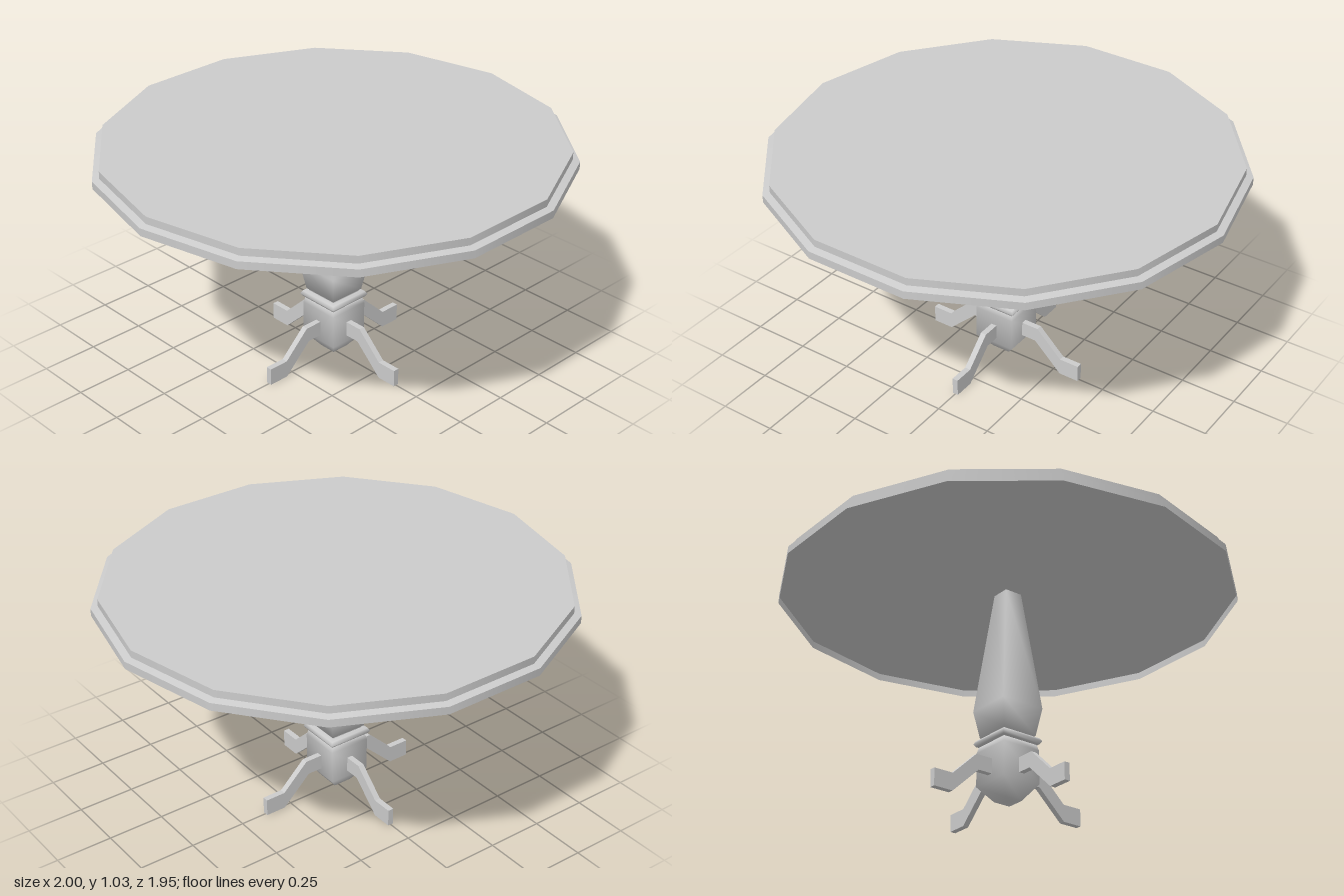
import * as THREE from 'three';

const material = new THREE.MeshStandardMaterial({ color: 0xcccccc, side: THREE.DoubleSide });

function part(name, geometry) {
  const mesh = new THREE.Mesh(geometry, material);
  mesh.name = name;
  return mesh;
}

// Four-sided turning with its flats facing the axes; profile is [halfWidth, y] from bottom to top
function squareTurning(name, profile) {
  const points = profile.map(([w, y]) => new THREE.Vector2(w * Math.SQRT2, y));
  return part(name, new THREE.LatheGeometry(points, 4, Math.PI / 4));
}

// Fourteen-sided slab with corners on the x axis
function slab(name, rTop, rBottom, y0, y1, open = false) {
  const geometry = new THREE.CylinderGeometry(rTop, rBottom, y1 - y0, 14, 1, open);
  geometry.rotateY(Math.PI / 2);
  geometry.translate(0, (y0 + y1) / 2, 0);
  return part(name, geometry);
}

export function createModel() {
  const table = new THREE.Group();
  table.name = 'pedestalTable';

  // Stepped table top: a thin hanging rim leaves the underside recessed
  table.add(
    slab('topRim', 1, 1, 0.955, 0.988, true),
    slab('topBevel', 0.97, 1, 0.988, 0.995),
    slab('topPanel', 0.97, 0.97, 0.995, 1.027)
  );

  // Pedestal
  const pedestal = new THREE.Group();
  pedestal.name = 'pedestal';
  pedestal.add(
    squareTurning('shaft', [[0, 0.312], [0.083, 0.314], [0.104, 0.437], [0.041, 0.988]]),
    squareTurning('neck', [[0.075, 0.26], [0.075, 0.32]]),
    squareTurning('collar', [[0.075, 0.274], [0.095, 0.276], [0.103, 0.289], [0.095, 0.302], [0.075, 0.304]]),
    squareTurning('base', [[0, 0.024], [0.04, 0.025], [0.093, 0.095], [0.093, 0.245], [0.086, 0.272], [0, 0.275]])
  );

  // Four bent legs
  const outline = [[0.05, 0.123], [0.16, 0.123], [0.29, 0], [0.381, 0],
    [0.381, 0.077], [0.29, 0.077], [0.172, 0.19], [0.05, 0.19]];
  const shape = new THREE.Shape(outline.map(([x, y]) => new THREE.Vector2(x, y)));
  const legGeometry = new THREE.ExtrudeGeometry(shape, { depth: 0.026, bevelEnabled: false });
  legGeometry.translate(0, 0, -0.013);
  ['leftLeg', 'backLeg', 'rightLeg', 'frontLeg'].forEach((name, i) => {
    const leg = part(name, legGeometry);
    leg.rotation.y = (i * Math.PI) / 2;
    pedestal.add(leg);
  });

  table.add(pedestal);
  return table;
}
